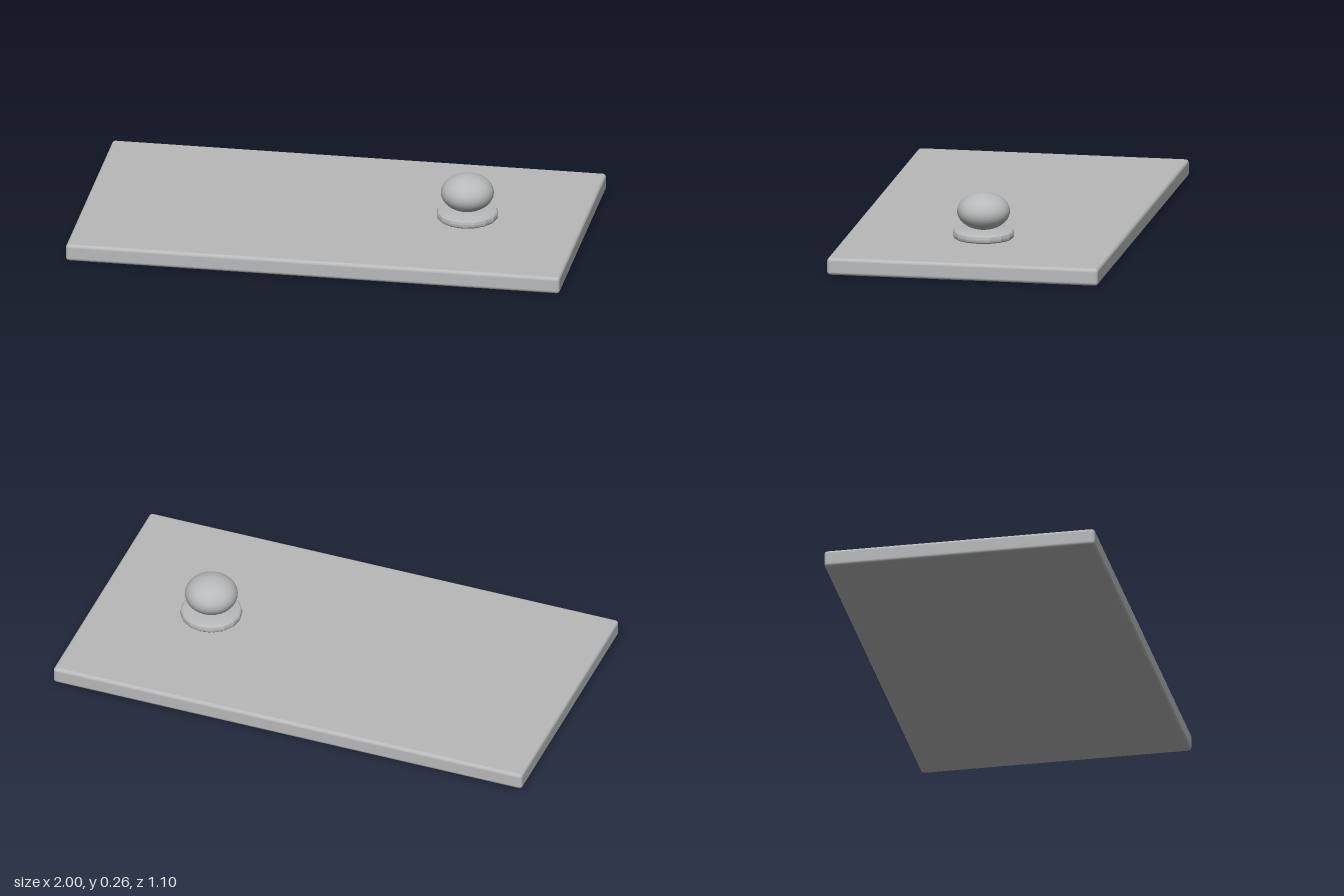
import * as THREE from 'three';
import { RoundedBoxGeometry } from 'three/addons/geometries/RoundedBoxGeometry.js';
import { toCreasedNormals } from 'three/addons/utils/BufferGeometryUtils.js';

export function createModel() {
  const group = new THREE.Group();
  const grey = new THREE.MeshStandardMaterial({ color: 0xb8b9ba });
  grey.name = 'plain grey';

  const add = (name, geometry, x, y, z) => {
    const mesh = new THREE.Mesh(geometry, grey);
    mesh.name = name;
    mesh.position.set(x, y, z);
    group.add(mesh);
    return mesh;
  };

  // Flat panel with softened edges
  add('panel', new RoundedBoxGeometry(2, 0.07, 1.1, 3, 0.014), 0, 0.035, 0);

  // Knob base: a thin disc with rounded rim
  const knobX = 0.532, radius = 0.124, height = 0.037, bevel = 0.015;
  const profile = [new THREE.Vector2(0, 0)];
  for (const [cy, start] of [[bevel, -Math.PI / 2], [height - bevel, 0]]) {
    for (let i = 0; i <= 3; i++) {
      const a = start + (i / 3) * Math.PI / 2;
      profile.push(new THREE.Vector2(radius - bevel + bevel * Math.cos(a), cy + bevel * Math.sin(a)));
    }
  }
  profile.push(new THREE.Vector2(0, height));
  add('knobBase', toCreasedNormals(new THREE.LatheGeometry(profile, 16), 0.35), knobX, 0.07, 0);

  // Knob: a squashed ball resting on the base
  add('knob', new THREE.SphereGeometry(0.106, 32, 20), knobX, 0.181, 0).scale.y = 0.7;

  return group;
}
